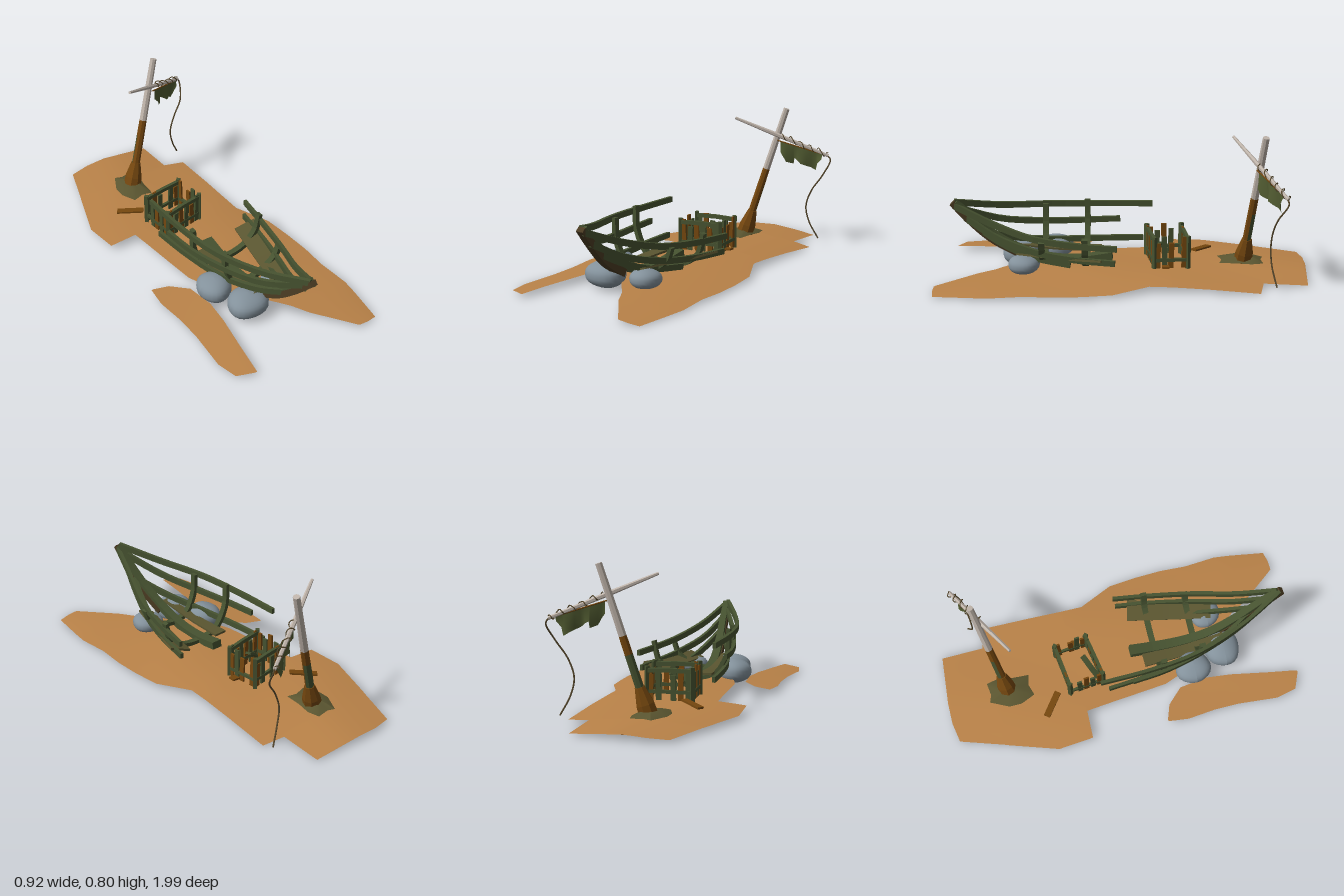
import * as THREE from 'three';

const V = (p) => new THREE.Vector3(...p);
const paint = (name, color, extra = {}) => Object.assign(new THREE.MeshStandardMaterial({ color, ...extra }), { name });

export function createModel() {
  const model = new THREE.Group();
  model.name = 'shipwreck';
  const both = { side: THREE.DoubleSide };
  const sandMat = paint('sand', 0xb98248, both);
  const greenWood = paint('mossy wood', 0x465230);
  const brownWood = paint('brown wood', 0x75470f);
  const paleWood = paint('bleached wood', 0xbfb4aa);
  const rockMat = paint('rock', 0x83919b);
  const clothMat = paint('cloth', 0x515b31, both);
  const ropeMat = paint('rope', 0x594a2e);
  const stemMat = paint('dark wood', 0x4a3b22);
  const floorMat = paint('weathered plank', 0x5a5530, both);

  const add = (name, geo, mat, parent = model) => {
    const m = new THREE.Mesh(geo, mat);
    m.name = name;
    parent.add(m);
    return m;
  };
  // Triangle mesh from equally long rows of points
  const loft = (rows, closed = false) => {
    const n = rows[0].length, idx = [];
    for (let i = 0; i < rows.length - 1; i++)
      for (let j = 0; j < (closed ? n : n - 1); j++) {
        const a = i * n + j, b = i * n + ((j + 1) % n);
        idx.push(a, a + n, b, b, a + n, b + n);
      }
    if (closed) {
      const e = (rows.length - 1) * n;
      idx.push(0, 1, 2, 0, 2, 3, e, e + 2, e + 1, e, e + 3, e + 2);
    }
    const g = new THREE.BufferGeometry();
    g.setAttribute('position', new THREE.Float32BufferAttribute(rows.flat(2), 3));
    g.setIndex(idx);
    return g;
  };
  // Rectangular timber swept along a curve; h runs along ref, w across it
  const beam = (name, pts, w, h, ref, mat, parent, taper = 1, steps = 14) => {
    const curve = new THREE.CatmullRomCurve3(pts.map(V)), rows = [];
    for (let i = 0; i <= steps; i++) {
      const t = i / steps, p = curve.getPoint(t), tan = curve.getTangent(t);
      const up = V(ref).addScaledVector(tan, -V(ref).dot(tan)).normalize();
      const side = up.clone().cross(tan);
      const k = 1 + (taper - 1) * t;
      rows.push([[-1, -1], [-1, 1], [1, 1], [1, -1]].map(([a, b]) =>
        p.clone().addScaledVector(side, a * w * k / 2).addScaledVector(up, b * h * k / 2).toArray()));
    }
    const g = loft(rows, true).toNonIndexed();
    g.computeVertexNormals();
    return add(name, g, mat, parent);
  };
  // Tapered pole between two points
  const pole = (name, a, b, r0, r1, mat, parent, sides = 7, start = 0, len = Math.PI * 2) => {
    const A = V(a), B = V(b), d = B.clone().sub(A);
    const g = new THREE.CylinderGeometry(r1, r0, d.length(), sides, 1, false, start, len).toNonIndexed();
    g.computeVertexNormals();
    const m = add(name, g, mat, parent);
    m.position.copy(A).add(B).multiplyScalar(0.5);
    m.quaternion.setFromUnitVectors(V([0, 1, 0]), d.normalize());
    return m;
  };
  const mix = (a, b, t) => a.map((v, i) => v + (b[i] - v) * t);
  const UP = [0, 1, 0], X = [1, 0, 0], Z = [0, 0, 1];

  // Sand sheets: rows of [z, left x, right x]
  const ground = (x, z) => Math.max(0.004, 0.058 - (x < 0 ? 0.1 : 0.15) * x * x - 0.025 * z * z
    - 0.05 * Math.max(0, x) * Math.max(0, -z) + 0.004 * Math.sin(9 * x + 5 * z));
  const sheet = (name, rows) => {
    const g = loft(rows.map(([z, l, r]) => Array.from({ length: 13 }, (_, j) => {
      const x = l + (r - l) * j / 12;
      return [x, ground(x, z), z];
    })));
    g.computeVertexNormals();
    add(name, g, sandMat);
  };
  sheet('mainSand', [[-1, -0.16, -0.04], [-0.98, -0.27, 0.235], [-0.745, -0.35, 0.235], [-0.72, -0.36, 0.355],
    [-0.455, -0.45, 0.345], [-0.26, -0.435, 0.337], [-0.255, -0.28, 0.337], [-0.14, -0.268, 0.335], [0.05, -0.25, 0.425],
    [0.21, -0.235, 0.442], [0.36, -0.18, 0.448], [0.51, -0.06, 0.44], [0.69, 0.085, 0.455], [0.78, 0.135, 0.445],
    [0.98, 0.29, 0.415], [0.99, 0.3, 0.36]]);
  sheet('sandStrip', [[0.17, -0.446, -0.435], [0.2, -0.45, -0.355], [0.285, -0.459, -0.275], [0.44, -0.443, -0.255],
    [0.58, -0.442, -0.27], [0.8, -0.46, -0.31], [0.915, -0.435, -0.328], [0.955, -0.345, -0.335]]);

  // Boulders, flatter underneath
  [[-0.19, 0.085, 0.38, 0.09, 0.066, 0.1], [-0.11, 0.078, 0.57, 0.112, 0.068, 0.1], [0.11, 0.082, 0.53, 0.086, 0.05, 0.085]]
    .forEach(([x, y, z, a, b, c], k) => {
      const g = new THREE.SphereGeometry(1, 24, 14, 0, Math.PI * 2, 0, Math.PI * 0.93);
      const p = g.attributes.position;
      for (let i = 0; i < p.count; i++) {
        const v = new THREE.Vector3().fromBufferAttribute(p, i);
        const s = 1 + 0.05 * Math.sin(3 * v.x + k * 2) * Math.cos(2.5 * v.z + k);
        p.setXYZ(i, v.x * s, Math.sign(v.y) * Math.abs(v.y) ** 0.85 * s, v.z * s);
      }
      g.scale(a, b, c);
      g.computeVertexNormals();
      add('boulder', g, rockMat).position.set(x, y, z);
    });

  // Boat hull
  const boat = new THREE.Group();
  boat.name = 'boat';
  model.add(boat);
  beam('stem', [[0.022, 0.4, 0.92], [0.014, 0.29, 0.82], [0, 0.19, 0.71], [-0.02, 0.1, 0.56]], 0.03, 0.04, X, stemMat, boat, 1.35);
  beam('keel', [[0.022, 0.405, 0.9], [0.014, 0.305, 0.8], [0, 0.21, 0.69], [-0.018, 0.115, 0.53], [-0.02, 0.075, 0.38],
    [-0.016, 0.07, 0.23], [-0.012, 0.095, 0.06]], 0.024, 0.034, X, greenWood, boat, 1.75, 24);
  const strakes = [
    [[0.015, 0.4, 0.91], [-0.1, 0.352, 0.67], [-0.19, 0.332, 0.4], [-0.222, 0.325, 0.13], [-0.228, 0.323, -0.16]],
    [[0.01, 0.36, 0.87], [-0.09, 0.275, 0.66], [-0.175, 0.238, 0.4], [-0.218, 0.23, 0.2], [-0.235, 0.232, 0.02]],
    [[0, 0.23, 0.75], [-0.07, 0.175, 0.6], [-0.145, 0.14, 0.38], [-0.19, 0.132, 0.12], [-0.21, 0.13, -0.11]],
    [[0.03, 0.385, 0.91], [0.1, 0.3, 0.69], [0.18, 0.245, 0.47], [0.235, 0.226, 0.23], [0.268, 0.222, 0.03]],
    [[0.025, 0.315, 0.85], [0.09, 0.22, 0.67], [0.17, 0.165, 0.45], [0.22, 0.145, 0.25], [0.255, 0.138, 0.04]],
    [[0.02, 0.24, 0.76], [0.06, 0.18, 0.65], [0.11, 0.12, 0.48], [0.16, 0.095, 0.28]],
  ];
  strakes.forEach((s) => beam('hullStrake', s, 0.02, 0.034, UP, greenWood, boat, 0.9));
  // Ribs
  beam('rearRib', [[-0.2, 0.355, 0.2], [-0.192, 0.22, 0.2], [-0.12, 0.1, 0.2], [0, 0.07, 0.2], [0.13, 0.09, 0.2],
    [0.21, 0.16, 0.2], [0.238, 0.265, 0.2]], 0.022, 0.032, Z, greenWood, boat, 1, 22);
  beam('frontRib', [[-0.158, 0.34, 0.43], [-0.15, 0.22, 0.43], [-0.09, 0.11, 0.43], [0, 0.085, 0.43], [0.1, 0.11, 0.43],
    [0.17, 0.16, 0.43], [0.2, 0.235, 0.43]], 0.022, 0.032, Z, greenWood, boat, 1, 22);
  // Loose inner planking
  beam('floorPlank', [[-0.09, 0.11, 0.12], [-0.087, 0.11, 0.35], [-0.07, 0.14, 0.59]], 0.075, 0.012, UP, floorMat, boat, 0.65);
  beam('sidePlank', [[0.215, 0.135, 0.1], [0.165, 0.13, 0.3], [0.1, 0.135, 0.56]], 0.12, 0.012, [-0.35, 1, 0], floorMat, boat, 0.75);

  // Broken crate
  const crate = new THREE.Group();
  crate.name = 'crate';
  model.add(crate);
  const corners = [[-0.16, 0, -0.32], [0.075, 0, -0.35], [0.095, 0, -0.17], [-0.14, 0, -0.13]];
  corners.forEach((a, s) => {
    const b = corners[(s + 1) % 4], n = s % 2 ? 5 : 6;
    const ang = -Math.atan2(b[2] - a[2], b[0] - a[0]);
    const at = (t, y) => { const p = mix(a, b, t); return [p[0], y, p[2]]; };
    for (let i = 0; i < n; i++) {
      if ((i + s * 2) % 7 === 3) continue;
      const h = 0.155 + 0.022 * Math.sin(i * 2.3 + s);
      const slat = add('crateSlat', new THREE.BoxGeometry(0.028, h, 0.01), (i + s) % 2 ? brownWood : greenWood, crate);
      slat.position.set(...at((i + 0.5) / n, 0.055 + h / 2));
      slat.rotation.set(0, ang, 0.05 * Math.sin(i * 3 + s));
    }
    if (s % 2 === 0) beam('crateRail', [at(0, 0.21), at(0.5, 0.214), at(1, 0.21)], 0.018, 0.022, UP, greenWood, crate, 1, 2);
    beam('crateLowRail', [at(0, 0.1), at(0.5, 0.1), at(1, 0.1)], 0.014, 0.018, UP, greenWood, crate, 1, 2);
    pole('cratePost', at(0, 0.05), at(0, 0.232), 0.015, 0.015, greenWood, crate, 4);
  });
  beam('fallenSlat', [[-0.11, 0.08, -0.15], [-0.06, 0.13, -0.18], [0, 0.17, -0.21]], 0.03, 0.012, UP, greenWood, crate, 1, 2);
  const chips = [[-0.2, 0.07, -0.435, 0.15, 0.036, -0.66], [0.112, 0.07, -0.23, 0.048, 0.038, 0]];
  chips.forEach(([x, y, z, w, d, r]) => {
    const m = add('loosePlank', new THREE.BoxGeometry(w, 0.01, d), brownWood);
    m.position.set(x, y, z);
    m.rotation.set(0, r, 0.1);
  });

  // Mast, bleached at the top, mossy on its lower rear side
  const mast = new THREE.Group();
  mast.name = 'mast';
  model.add(mast);
  const foot = [-0.055, 0.03, -0.655], tip = [0.175, 0.8, -0.738], up = (t) => mix(foot, tip, t);
  pole('mastFrontHalf', foot, up(0.42), 0.024, 0.022, brownWood, mast, 4, -Math.PI / 2, Math.PI);
  pole('mastRearHalf', foot, up(0.42), 0.024, 0.022, greenWood, mast, 4, Math.PI / 2, Math.PI);
  pole('mastMiddle', up(0.42), up(0.54), 0.022, 0.021, brownWood, mast, 8);
  pole('mastTop', up(0.54), tip, 0.021, 0.018, paleWood, mast, 8);
  pole('mastFoot', up(0), up(0.1), 0.052, 0.048, brownWood, mast, 8);
  pole('mastCollar', up(0.1), up(0.21), 0.048, 0.027, brownWood, mast, 8);
  // Mossy mound around the foot
  const rim = [[-0.1, -0.77], [-0.06, -0.755], [0.01, -0.765], [0.025, -0.7], [0.01, -0.62], [0.005, -0.525],
    [-0.05, -0.54], [-0.115, -0.52], [-0.15, -0.6], [-0.15, -0.67], [-0.1, -0.77]];
  const mound = loft([rim.map(([x, z]) => [x, 0.054, z]),
    rim.map(([x, z]) => [x * 0.5 - 0.03, 0.075, z * 0.5 - 0.33]), rim.map(() => [-0.055, 0.08, -0.655])]);
  mound.computeVertexNormals();
  add('mossMound', mound, floorMat);

  // Yard with ropes and torn sail
  const y0 = [-0.078, 0.744, -0.59], y1 = [0.4, 0.535, -0.835], yard = (t) => mix(y0, y1, t);
  pole('yardLeft', yard(0), yard(0.43), 0.008, 0.013, paleWood, mast, 6);
  pole('yardRight', yard(0.43), yard(1), 0.013, 0.009, paleWood, mast, 6);
  const coil = Array.from({ length: 43 }, (_, i) => {
    const a = i / 42 * Math.PI * 10, p = yard(0.5 + 0.5 * i / 42), r = 0.015 + 0.004 * Math.sin(i);
    return V([p[0] + 0.01 * Math.sin(a), p[1] + 0.003 + r * Math.cos(a), p[2] + r * Math.sin(a)]);
  });
  const tube = (name, pts, n, r) => add(name, new THREE.TubeGeometry(new THREE.CatmullRomCurve3(pts), n, r, 5), ropeMat, mast);
  tube('lashing', coil, 150, 0.003);
  tube('hangingRope', [[0.385, 0.545, -0.825], [0.412, 0.515, -0.838], [0.388, 0.425, -0.79], [0.33, 0.335, -0.772],
    [0.298, 0.24, -0.768], [0.315, 0.15, -0.775], [0.363, 0.05, -0.8]].map(V), 50, 0.0045);
  pole('sailBatten', [0.14, 0.618, -0.7], [0.39, 0.537, -0.828], 0.004, 0.004, brownWood, mast, 5);
  const hem = [[0.157, 0.55], [0.175, 0.53], [0.19, 0.495], [0.22, 0.483], [0.223, 0.517], [0.245, 0.505], [0.266, 0.487],
    [0.29, 0.475], [0.31, 0.463], [0.333, 0.448], [0.348, 0.488], [0.373, 0.517]];
  const sail = loft(Array.from({ length: 6 }, (_, r) => hem.map(([x, y], i) => {
    const t = r / 5, top = 0.612 - (x - 0.157) * 0.29;
    return [x, top + (y - top) * t, -0.708 - (x - 0.157) * 0.51 + 0.016 * t * Math.sin(i * 1.3)];
  })));
  sail.computeVertexNormals();
  add('tornSail', sail, clothMat, mast);
  return model;
}
